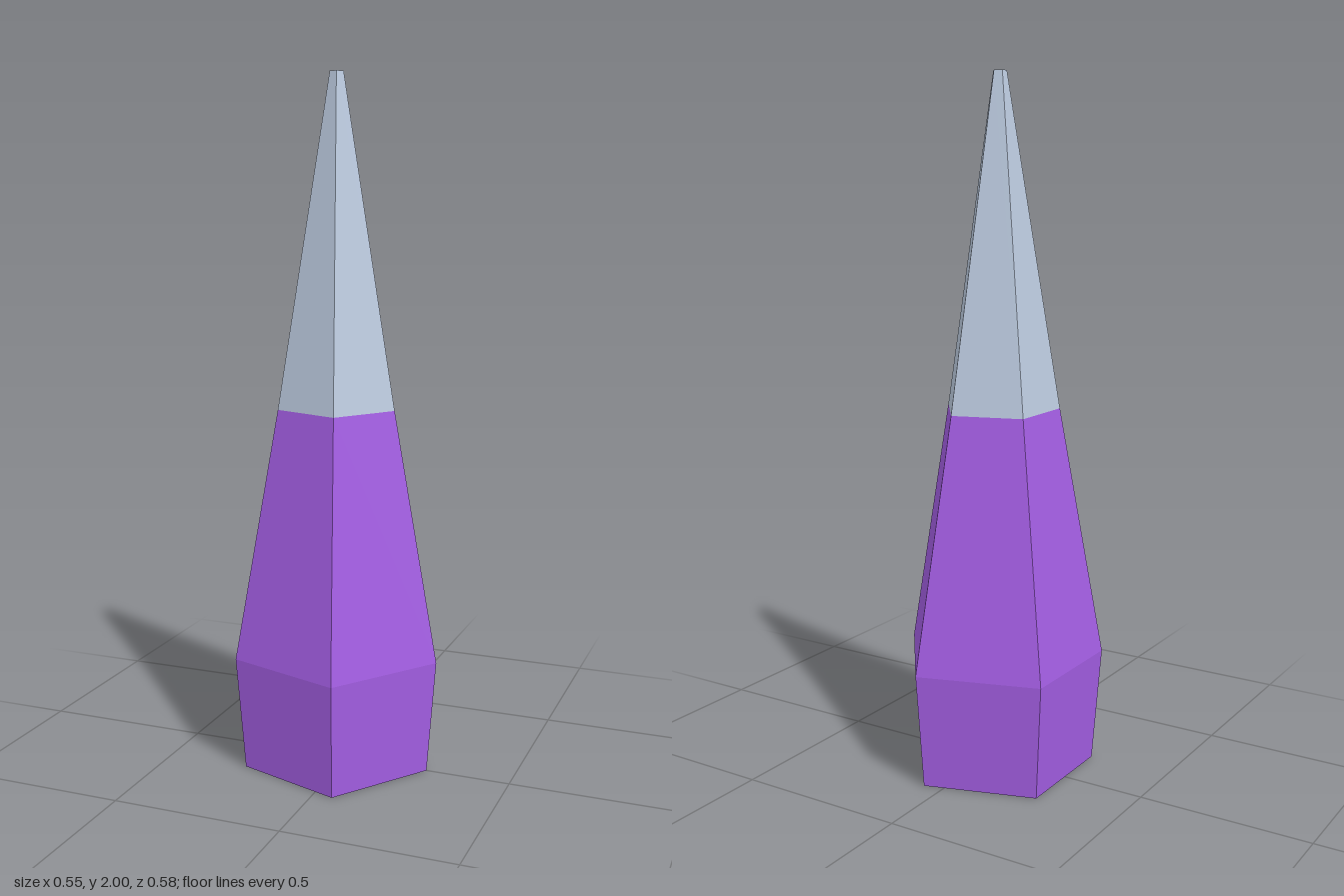
import * as THREE from 'three';

// Five-sided tapered crystal spike, one corner pointing to +x
export function createModel() {
  const group = new THREE.Group();
  const purple = new THREE.MeshStandardMaterial({ color: 0xa45ee4, flatShading: true });
  purple.name = 'purple';
  const paleSteel = new THREE.MeshStandardMaterial({ color: 0xbccbe0, flatShading: true });
  paleSteel.name = 'paleSteel';

  // Each part is a five-sided lathe; profile runs bottom to top as [radius, y]
  function part(name, profile, material) {
    const points = profile.map(([r, y]) => new THREE.Vector2(r, y));
    const geometry = new THREE.LatheGeometry(points, 5, Math.PI / 2);
    const mesh = new THREE.Mesh(geometry, material);
    mesh.name = name;
    mesh.position.x = -0.029;
    group.add(mesh);
  }

  // Flared foot, closed underneath
  part('foot', [[0, 0], [0.28, 0], [0.306, 0.335]], purple);
  // Tapering shaft
  part('shaft', [[0.306, 0.335], [0.174, 1.065]], purple);
  // Pale blade up to the point
  part('blade', [[0.174, 1.065], [0.02, 2]], paleSteel);
  // Tiny flat end face
  part('endCap', [[0.02, 2], [0, 2]], purple);

  return group;
}
